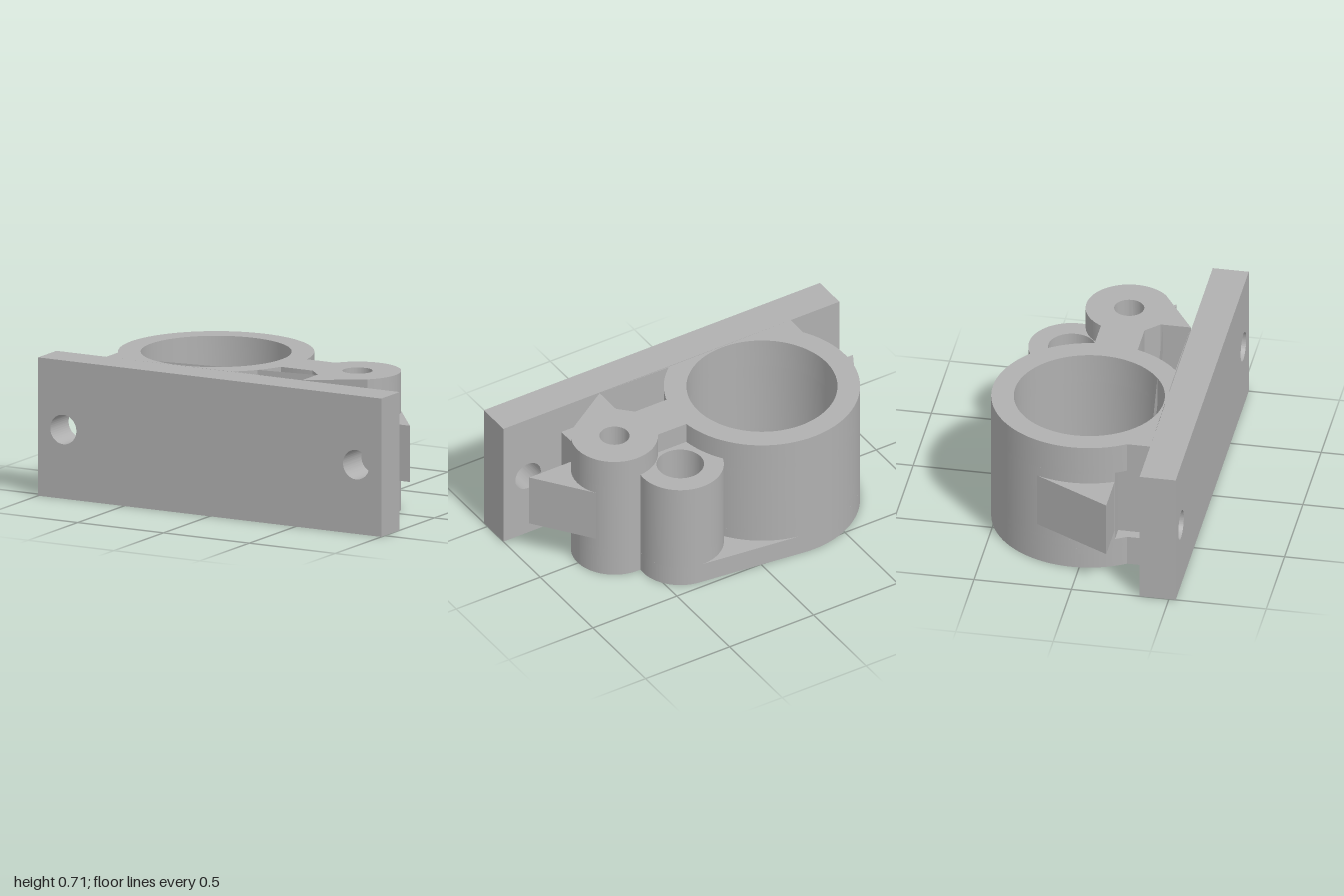
import * as THREE from 'three';
import { toCreasedNormals } from 'three/addons/utils/BufferGeometryUtils.js';

// Plan shapes are drawn in (x, -z) and extruded upward.
const H = 0.713, FLOOR = 0.11, BACK = -0.35;
const MAIN = { x: -0.295, y: 0.04, r: 0.495 };
const POST = { x: 0.32, y: 0.245, r: 0.22 };
const PIVOT = { x: 0.555, y: -0.005, r: 0.22 };
const NOTCH = { edge: 0.655, low: 0.16, high: 0.555, v: -0.175 };

const angleTo = (c, x, y) => Math.atan2(y - c.y, x - c.x);
const arc = (path, c, a0, a1, cw = false) => path.absarc(c.x, c.y, c.r, a0, a1, cw);

function circle(c, r) {
  return new THREE.Path().absarc(c.x, c.y, r, 0, Math.PI * 2, false);
}

function disc(c, r) {
  return new THREE.Shape().absarc(c.x, c.y, r, 0, Math.PI * 2, false);
}

function polygon(points) {
  return new THREE.Shape(points.map(([x, y]) => new THREE.Vector2(x, y)));
}

function extrude(shape, depth) {
  const geo = new THREE.ExtrudeGeometry(shape, { depth, bevelEnabled: false, curveSegments: 64 });
  return toCreasedNormals(geo, 0.4);
}

// Outline of the housing; notched leaves room around the screws, base adds the flange.
function housingOutline({ notched = false, base = false } = {}) {
  const s = new THREE.Shape();
  const right = notched ? NOTCH.edge : 0.705;
  s.moveTo(right, BACK);
  if (notched) s.lineTo(right, NOTCH.v).lineTo(0.705, NOTCH.v);
  const a0 = angleTo(PIVOT, 0.705, -0.166);
  if (base) {
    // flange follows the post, then a line tangent to both cylinders
    arc(s, PIVOT, a0, angleTo(PIVOT, 0.538, 0.2145));
    const dx = POST.x - MAIN.x, dy = POST.y - MAIN.y;
    const tangent = Math.atan2(dy, dx) + Math.acos((MAIN.r - POST.r) / Math.hypot(dx, dy));
    arc(s, POST, angleTo(POST, 0.538, 0.2145), tangent);
    arc(s, MAIN, tangent, angleTo(MAIN, -0.71, -0.23) + Math.PI * 2);
  } else {
    arc(s, PIVOT, a0, angleTo(PIVOT, 0.362, 0.105));
    const end = notched ? angleTo(MAIN, -0.741, NOTCH.v) : angleTo(MAIN, -0.71, -0.23);
    arc(s, MAIN, angleTo(MAIN, 0.196, 0.105), end + Math.PI * 2);
  }
  if (notched) s.lineTo(-NOTCH.edge, NOTCH.v);
  s.lineTo(notched ? -NOTCH.edge : -0.71, BACK);
  s.closePath();
  return s;
}

function pocketHole() {
  const p = new THREE.Path();
  p.moveTo(0.43, -0.345).lineTo(0.43, -0.19).lineTo(0.36, -0.12).lineTo(0.175, -0.12);
  arc(p, MAIN, angleTo(MAIN, 0.175, -0.12), angleTo(MAIN, 0.02, -0.345), true);
  p.closePath();
  return p;
}

export function createModel() {
  const group = new THREE.Group();
  group.name = 'bearingBracket';
  const grey = new THREE.MeshStandardMaterial({ color: 0xb0b0b0 });
  grey.name = 'grey';

  const add = (name, geo) => {
    const mesh = new THREE.Mesh(geo, grey);
    mesh.name = name;
    group.add(mesh);
    return mesh;
  };
  const addLayer = (name, shape, y0, y1) => {
    const mesh = add(name, extrude(shape, y1 - y0).rotateX(-Math.PI / 2));
    mesh.position.y = y0;
  };

  // Mounting plate with two screw holes
  const plate = polygon([[-1, 0], [1, 0], [1, H], [-1, H]]);
  for (const x of [-0.853, 0.853]) plate.holes.push(circle({ x, y: H / 2 }, 0.076));
  add('mountingPlate', extrude(plate, 0.185)).position.z = -BACK;

  // Floor with flange, centre hole and pivot hole
  const base = housingOutline({ base: true });
  base.holes.push(circle(MAIN, 0.19), circle(PIVOT, 0.076));
  addLayer('baseFloor', base, 0, FLOOR);

  // Housing walls, notched in the middle beside the screws
  const levels = [FLOOR, NOTCH.low, NOTCH.high, H];
  ['lowerHousing', 'middleHousing', 'upperHousing'].forEach((name, i) => {
    const shape = housingOutline({ notched: i === 1 });
    shape.holes.push(circle(MAIN, 0.381), circle(PIVOT, 0.076), pocketHole());
    addLayer(name, shape, levels[i], levels[i + 1]);
  });

  // Shorter hollow post
  const post = disc(POST, POST.r);
  post.holes.push(circle(POST, 0.12));
  addLayer('hollowPost', post, FLOOR, 0.6);

  // Triangular side wings
  addLayer('rightWing', polygon([[-0.74, 0.25], [-0.97, -0.173], [-0.72, -0.173], [-0.7, 0.1]]), 0.212, 0.502);
  addLayer('leftWing', polygon([[0.74, 0.115], [0.66, 0], [0.7, -0.173], [0.957, -0.173]]), 0.212, 0.502);

  return group;
}
